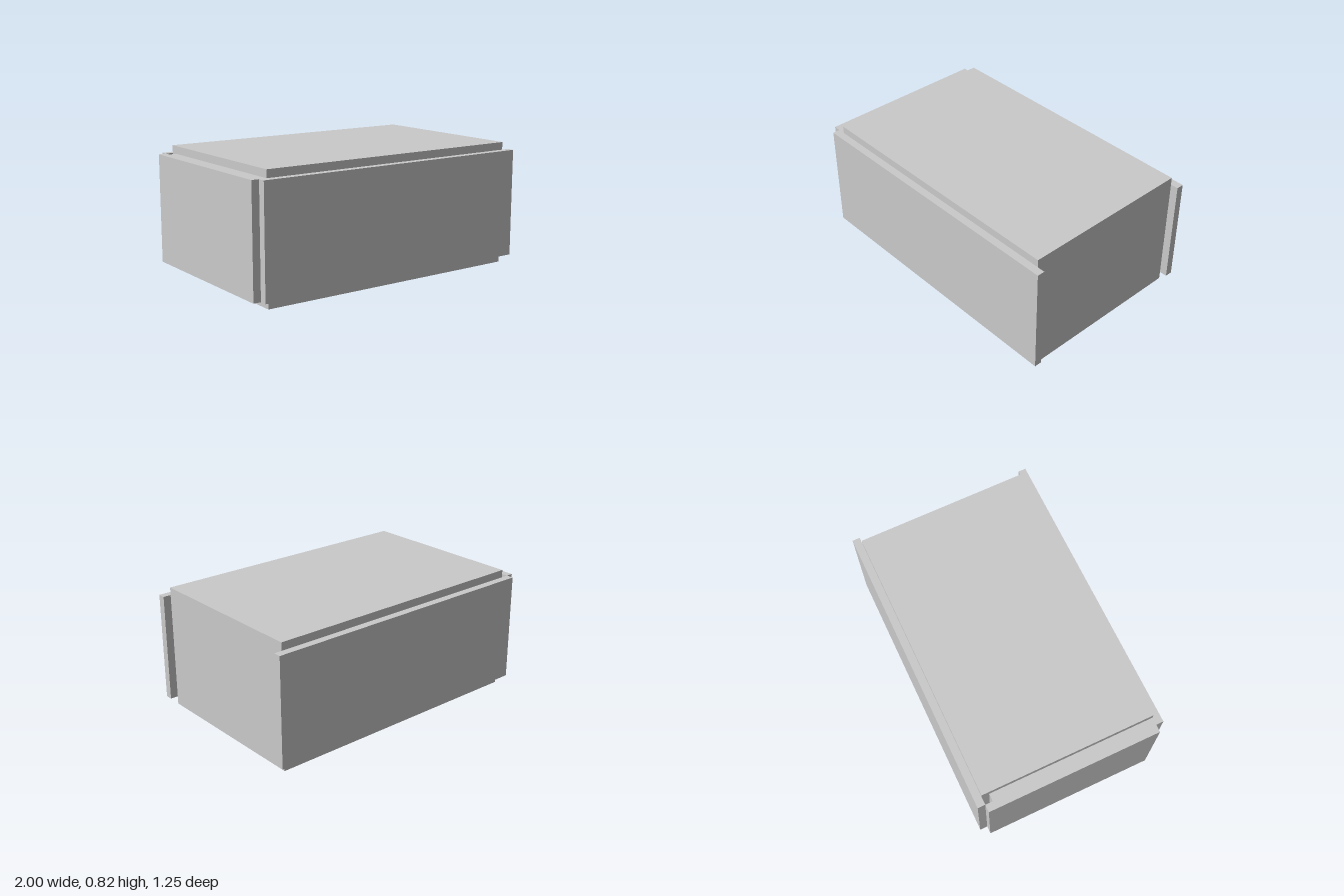
import * as THREE from 'three';

export function createModel() {
  const model = new THREE.Group();
  model.name = 'panelledBox';
  const grey = new THREE.MeshStandardMaterial({ color: 0xcacaca });
  grey.name = 'light grey';

  // Box given by its minimum and maximum corners
  function block(name, [x0, y0, z0], [x1, y1, z1]) {
    const mesh = new THREE.Mesh(new THREE.BoxGeometry(x1 - x0, y1 - y0, z1 - z0), grey);
    mesh.name = name;
    mesh.position.set((x0 + x1) / 2, (y0 + y1) / 2, (z0 + z1) / 2);
    model.add(mesh);
  }

  const bottom = 0.053, top = 0.771; // height range of the wall panels
  const zCore = 0.577, zOuter = 0.627;

  // Main body, flush with the top, the bottom and the +x side
  block('body', [-0.9, 0, -zCore], [0.948, 0.822, zCore]);

  // Front and back panels, reaching past the body at both ends
  block('frontPanel', [-0.95, bottom, zCore], [1, top, zOuter]);
  block('backPanel', [-0.95, bottom, -zOuter], [1, top, -zCore]);

  // Stepped -x panel, notched at its back inner corner
  const step = new THREE.Shape([
    [-1, -zCore], [-0.95, -zCore], [-0.95, -0.528], [-0.9, -0.528],
    [-0.9, zCore], [-1, zCore],
  ].map(([x, z]) => new THREE.Vector2(x, -z)));
  const sideGeometry = new THREE.ExtrudeGeometry(step, { depth: top - bottom, bevelEnabled: false });
  sideGeometry.rotateX(-Math.PI / 2);
  const side = new THREE.Mesh(sideGeometry, grey);
  side.name = 'sidePanel';
  side.position.y = bottom;
  model.add(side);

  return model;
}
